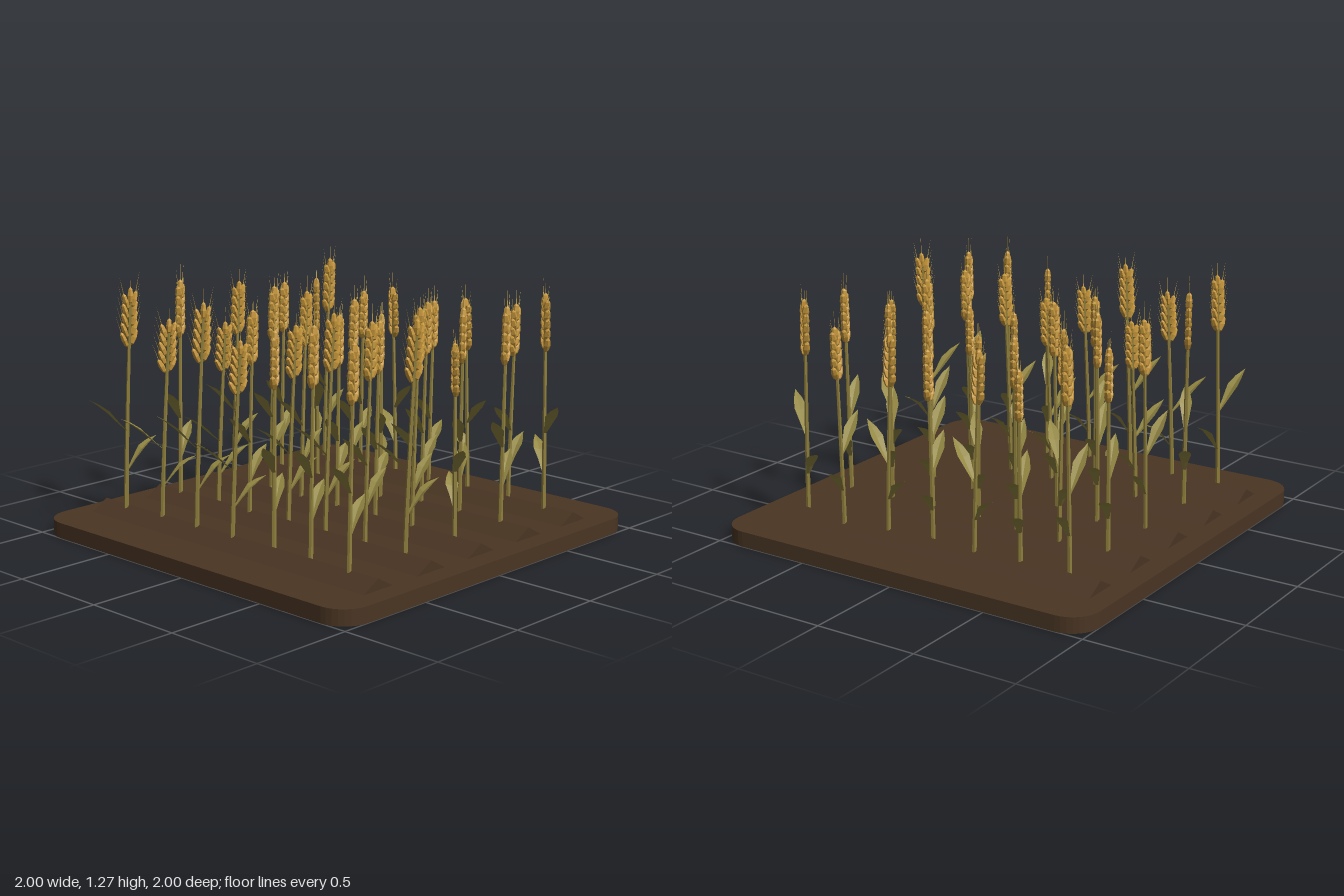
import * as THREE from 'three';
import { mergeGeometries } from 'three/addons/utils/BufferGeometryUtils.js';

const mat = (name, color, extra = {}) => {
  const m = new THREE.MeshStandardMaterial({ color, flatShading: true, ...extra });
  m.name = name;
  return m;
};

// One row per z position; each plant is [x, heading in degrees, height]
const ROWS = [
  [-0.73, [[-0.70, -12, 1.24], [-0.35, 29, 1.23], [0.01, 0, 1.18], [0.35, 22, 1.13], [0.67, 8, 1.22]]],
  [-0.48, [[-0.69, -30, 1.12], [-0.33, -14, 1.05], [0.03, 20, 1.18], [0.36, 47, 1.18], [0.68, 24, 1.07]]],
  [-0.24, [[-0.69, -22, 1.23], [-0.35, 17, 1.14], [0, 8, 1.19], [0.35, 22, 1.10], [0.69, 65, 1.12]]],
  [0, [[-0.69, -20, 1.08], [-0.33, -7, 1.10], [0, 28, 1.10], [0.31, 40, 1.06], [0.67, 19, 1.08]]],
  [0.24, [[-0.66, 32, 1.15], [-0.33, -8, 1.19], [0.01, 22, 1.10], [0.34, 16, 1.15], [0.69, 66, 1.12]]],
  [0.48, [[-0.67, 24, 1.21], [-0.32, 9, 1.18], [0, 9, 1.20], [0.34, 33, 1.15], [0.71, 15, 1.12]]],
  [0.73, [[-0.69, 20, 1.17], [-0.33, -17, 1.23], [0.01, 50, 1.06], [0.34, 25, 1.19], [0.67, 54, 1.21]]],
];
const FULL_HEIGHT = 1.24;

// Gentle sideways lean of the stalk at height y
const lean = (y) => 0.055 * Math.pow(Math.max(y - 0.1, 0) / 1.1, 1.2);

// Slab of earth with rounded corners
function slabGeometry() {
  const r = 0.14, s = new THREE.Shape();
  [[1, 1, 0], [-1, 1, 1], [-1, -1, 2], [1, -1, 3]].forEach(([x, y, q]) =>
    s.absarc(x * (1 - r), y * (1 - r), r, q * Math.PI / 2, (q + 1) * Math.PI / 2, false));
  s.closePath();
  return new THREE.ExtrudeGeometry(s, { depth: 0.075, bevelEnabled: false, curveSegments: 4 }).rotateX(-Math.PI / 2);
}

// Triangular planting ridge along z
function ridgeGeometry() {
  const s = new THREE.Shape([[-0.1, 0.07], [0.1, 0.07], [0, 0.127]].map(([x, y]) => new THREE.Vector2(x, y)));
  return new THREE.ExtrudeGeometry(s, { depth: 1.79, bevelEnabled: false }).translate(0, 0, -0.895);
}

// Tapered stalk, bent by the lean rule
function stalkGeometry() {
  const g = new THREE.CylinderGeometry(0.007, 0.012, 1.04, 6, 5).translate(0, 0.61, 0);
  const p = g.attributes.position;
  for (let i = 0; i < p.count; i++) p.setX(i, p.getX(i) + lean(p.getY(i)));
  return g;
}

// Creased leaf from cross-sections [reach, height, half width]
function leafGeometry(sections, side) {
  const pos = [], index = [];
  sections.forEach(([reach, y, w], i) => {
    const x = side * reach + lean(y) * (1 - i / (sections.length - 1));
    pos.push(x, y, -w, x, y - 0.4 * w, 0, x, y, w);
    if (i === 0) return;
    for (let k = 0; k < 2; k++) {
      const a = (i - 1) * 3 + k, b = a + 3;
      if (side > 0) index.push(a, a + 1, b, a + 1, b + 1, b);
      else index.push(a, b, a + 1, a + 1, b, b + 1);
    }
  });
  const g = new THREE.BufferGeometry();
  g.setAttribute('position', new THREE.Float32BufferAttribute(pos, 3));
  g.setIndex(index);
  g.computeVertexNormals();
  return g;
}

// Paired grains up the ear, each carrying a fine bristle
function earGeometries() {
  const grains = [], bristles = [];
  const add = (y, tilt, offset) => {
    const x = lean(y) + offset;
    grains.push(new THREE.SphereGeometry(1, 6, 4).scale(0.014, 0.042, 0.018)
      .translate(0, 0.03, 0).rotateZ(-tilt).translate(x, y, 0));
    bristles.push(new THREE.ConeGeometry(0.0025, 0.1, 3)
      .translate(0, 0.11, 0).rotateZ(-tilt * 0.75).translate(x + tilt * 0.015, y, 0));
  };
  for (let i = 0; i < 5; i++) {
    for (const s of [-1, 1]) add(0.905 + i * 0.045 + (s > 0 ? 0.008 : 0), s * (0.42 - i * 0.03), s * 0.013);
  }
  add(1.11, 0.05, 0);
  return [mergeGeometries(grains), mergeGeometries(bristles)];
}

export function createModel() {
  const model = new THREE.Group();
  model.name = 'cropField';

  const soil = mat('soil brown', 0x4a3523);
  const stem = mat('stalk olive', 0x8e7e3c);
  const leaf = mat('leaf green', 0x948843, { side: THREE.DoubleSide });
  const grain = mat('grain gold', 0xc8983c);
  const bristle = mat('bristle straw', 0xb99a48);

  const add = (parent, name, geometry, material) => {
    const m = new THREE.Mesh(geometry, material);
    m.name = name;
    parent.add(m);
    return m;
  };

  // Ground
  add(model, 'soilSlab', slabGeometry(), soil);
  const ridge = ridgeGeometry();
  for (let i = -2; i <= 2; i++) add(model, 'soilRidge', ridge, soil).position.x = i * 0.342;

  // Plant parts shared by every plant
  const stalk = stalkGeometry();
  const upperLeaf = leafGeometry([[0, 0.49, 0.006], [0.05, 0.545, 0.017], [0.1, 0.605, 0.03], [0.14, 0.64, 0.02], [0.185, 0.67, 0]], -1);
  const lowerLeaf = leafGeometry([[0, 0.29, 0.006], [0.045, 0.355, 0.017], [0.085, 0.405, 0.03], [0.125, 0.43, 0.02], [0.175, 0.45, 0]], 1);
  const [grains, bristles] = earGeometries();

  // Planting
  for (const [z, plants] of ROWS) {
    for (const [x, heading, height] of plants) {
      const plant = new THREE.Group();
      plant.name = 'plant';
      add(plant, 'stalk', stalk, stem);
      add(plant, 'upperLeaf', upperLeaf, leaf);
      add(plant, 'lowerLeaf', lowerLeaf, leaf);
      add(plant, 'earGrains', grains, grain);
      add(plant, 'earBristles', bristles, bristle);
      plant.position.set(x, 0, z);
      plant.rotation.y = THREE.MathUtils.degToRad(heading);
      plant.scale.y = height / FULL_HEIGHT;
      model.add(plant);
    }
  }
  return model;
}
